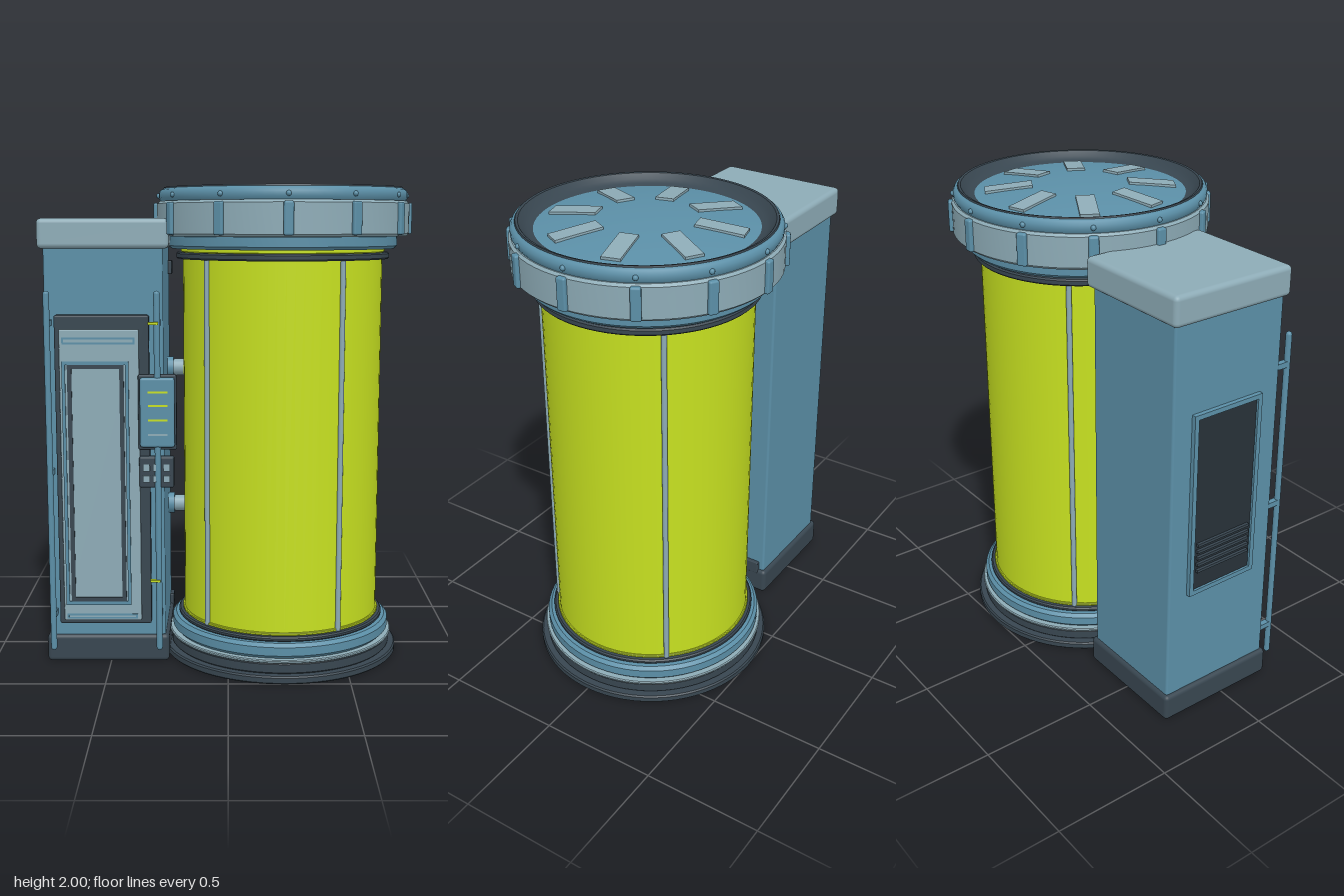
import * as THREE from 'three';
import { toCreasedNormals } from 'three/addons/utils/BufferGeometryUtils.js';
import { RoundedBoxGeometry } from 'three/addons/geometries/RoundedBoxGeometry.js';

const paint = (name, color) => {
  const m = new THREE.MeshStandardMaterial({ color });
  m.name = name;
  return m;
};

export function createModel() {
  const blue = paint('steel blue', 0x5b8fa7);
  const light = paint('pale metal', 0x8dabb6);
  const dark = paint('dark metal', 0x384650);
  const black = paint('grille black', 0x273138);
  const glow = paint('green liquid', 0xc6e020);

  const model = new THREE.Group();
  const tank = new THREE.Group();
  tank.name = 'tank';
  tank.position.x = 0.23;
  const cabinet = new THREE.Group();
  cabinet.name = 'cabinet';
  model.add(tank, cabinet);

  const add = (parent, name, geo, mat, x = 0, y = 0, z = 0) => {
    const m = new THREE.Mesh(geo, mat);
    m.name = name;
    m.position.set(x, y, z);
    parent.add(m);
    return m;
  };
  const lathe = (name, pts, mat) => add(tank, name, toCreasedNormals(
    new THREE.LatheGeometry(pts.map(p => new THREE.Vector2(...p)), 72), 0.6), mat);
  // closed disc with bevelled edges
  const disc = (name, r, y0, y1, mat, b = 0.006) => lathe(name,
    [[0, y0], [r - b, y0], [r, y0 + b], [r, y1 - b], [r - b, y1], [0, y1]], mat);
  // box given by its limits
  const box = (parent, name, mat, x0, x1, y0, y1, z0, z1, r = 0) => {
    const s = [x1 - x0, y1 - y0, z1 - z0];
    const geo = r ? new RoundedBoxGeometry(...s, 3, r) : new THREE.BoxGeometry(...s);
    return add(parent, name, geo, mat, (x0 + x1) / 2, (y0 + y1) / 2, (z0 + z1) / 2);
  };
  // rectangular frame of four bars
  const frame = (parent, name, mat, x0, x1, y0, y1, z0, z1, w) => {
    const g = new THREE.Group();
    g.name = name;
    parent.add(g);
    box(g, name + 'Left', mat, x0, x0 + w, y0, y1, z0, z1);
    box(g, name + 'Right', mat, x1 - w, x1, y0, y1, z0, z1);
    box(g, name + 'Bottom', mat, x0 + w, x1 - w, y0, y0 + w, z0, z1);
    box(g, name + 'Top', mat, x0 + w, x1 - w, y1 - w, y1, z0, z1);
    return g;
  };

  // tank base
  disc('baseFoot', 0.51, 0, 0.033, dark);
  disc('baseStep', 0.48, 0.033, 0.08, dark);
  disc('baseTrim', 0.488, 0.08, 0.094, light, 0.004);
  disc('baseCollar', 0.474, 0.094, 0.158, blue, 0.014);
  disc('baseSeal', 0.447, 0.158, 0.178, dark);
  disc('lowerGlowRing', 0.43, 0.178, 0.19, glow, 0.003);

  // liquid column and upright rods
  add(tank, 'liquidColumn', new THREE.CylinderGeometry(0.422, 0.422, 1.56, 72, 1, true), glow, 0, 0.965, 0);
  for (const deg of [58, 138, 222, 318]) {
    const a = deg * Math.PI / 180;
    add(tank, 'uprightRod', new THREE.CylinderGeometry(0.011, 0.011, 1.54, 12), light,
      Math.cos(a) * 0.426, 0.95, Math.sin(a) * 0.426);
  }

  // tank cap
  disc('upperSeal', 0.45, 1.705, 1.733, dark);
  disc('upperGlowRing', 0.43, 1.733, 1.75, glow, 0.003);
  disc('capCollar', 0.482, 1.748, 1.81, blue, 0.012);
  disc('capBand', 0.53, 1.8, 1.942, light, 0.01);
  lathe('capRim', [[0.49, 1.935], [0.515, 1.942], [0.522, 1.955], [0.522, 1.975],
    [0.514, 1.988], [0.503, 1.994]], blue);
  lathe('capRing', [[0.503, 1.992], [0.5, 2], [0.49, 1.998], [0.472, 1.978], [0.455, 1.966], [0.434, 1.96]], dark);
  const dome = [];
  for (let i = 0; i <= 10; i++) {
    const r = 0.436 * (1 - i / 10);
    dome.push([r, 1.96 + 0.034 * (1 - (r / 0.436) ** 2)]);
  }
  lathe('capDome', dome, blue);

  for (let i = 0; i < 12; i++) {
    const pivot = new THREE.Group();
    pivot.name = 'capClip';
    pivot.rotation.y = i * Math.PI / 6;
    tank.add(pivot);
    box(pivot, 'clipBar', blue, 0.515, 0.545, 1.806, 1.936, -0.02, 0.02, 0.008);
    add(pivot, 'clipBolt', new THREE.SphereGeometry(0.011, 10, 8), blue, 0.522, 1.965, 0);
  }
  for (let i = 0; i < 8; i++) {
    const pivot = new THREE.Group();
    pivot.name = 'roofVent';
    pivot.rotation.y = Math.PI / 12 + i * Math.PI / 4;
    tank.add(pivot);
    const plate = add(pivot, 'ventPlate', new THREE.BoxGeometry(0.195, 0.014, 0.076), light, 0.295, 1.98, 0);
    plate.rotation.z = -0.1;
  }

  // cabinet shell
  box(cabinet, 'cabinetBase', dark, -0.772, -0.252, 0, 0.118, -0.31, 0.242, 0.018);
  box(cabinet, 'cabinetBody', blue, -0.755, -0.267, 0.1, 1.77, -0.295, 0.228, 0.01);
  box(cabinet, 'cabinetLid', light, -0.779, -0.242, 1.75, 1.872, -0.315, 0.243, 0.02);

  // door with stepped frames
  box(cabinet, 'doorSurround', dark, -0.712, -0.325, 0.175, 1.482, 0.22, 0.262, 0.008);
  box(cabinet, 'doorPanel', light, -0.692, -0.366, 0.193, 1.425, 0.25, 0.27, 0.006);
  frame(cabinet, 'doorOuterTrim', blue, -0.682, -0.408, 0.262, 1.294, 0.266, 0.276, 0.014);
  frame(cabinet, 'doorInnerTrim', dark, -0.66, -0.428, 0.276, 1.282, 0.266, 0.274, 0.018);
  for (const [y0, y1] of [[1.365, 1.392], [0.2, 0.222]]) {
    frame(cabinet, 'doorSlot', blue, -0.68, -0.382, y0, y1, 0.266, 0.274, 0.007);
  }

  // front rails with brackets
  for (const x of [-0.737, -0.29]) {
    add(cabinet, 'frontRail', new THREE.CapsuleGeometry(0.013, 1.49, 4, 12), blue, x, 0.825, 0.285);
    for (const y of [0.22, 0.83, 1.45]) {
      box(cabinet, 'railBracket', blue, x - 0.012, x + 0.012, y - 0.012, y + 0.012, 0.22, 0.285);
    }
  }
  for (const y of [0.372, 1.452]) {
    box(cabinet, 'railMarker', glow, -0.326, -0.284, y - 0.005, y + 0.005, 0.285, 0.303);
  }

  // control box and keypad
  box(cabinet, 'controlMount', dark, -0.37, -0.212, 0.93, 1.24, 0.25, 0.283, 0.006);
  box(cabinet, 'controlBox', blue, -0.362, -0.22, 0.942, 1.23, 0.26, 0.303, 0.01);
  [0.995, 1.055, 1.115, 1.172].forEach((y, i) => box(cabinet, 'readoutLine', i ? glow : light,
    -0.328, -0.248, y - 0.004, y + 0.004, 0.3, 0.306));
  box(cabinet, 'keypad', dark, -0.368, -0.224, 0.77, 0.9, 0.245, 0.288, 0.008);
  for (let i = 0; i < 3; i++) {
    for (const y of [0.808, 0.855]) {
      const x = -0.338 + i * 0.042;
      box(cabinet, 'key', light, x - 0.014, x + 0.014, y - 0.014, y + 0.014, 0.28, 0.294);
    }
  }

  // side grille
  box(cabinet, 'grillePanel', black, -0.764, -0.74, 0.59, 1.37, -0.195, 0.12);
  for (const [y0, y1, z0, z1] of [[0.58, 0.6, -0.205, 0.13], [1.36, 1.38, -0.205, 0.13],
    [0.6, 1.36, -0.205, -0.185], [0.6, 1.36, 0.11, 0.13]]) {
    box(cabinet, 'grilleFrame', blue, -0.774, -0.74, y0, y1, z0, z1);
  }
  for (let i = 0; i < 5; i++) {
    box(cabinet, 'grilleSlat', dark, -0.776, -0.75, 0.68 + i * 0.03, 0.692 + i * 0.03, -0.17, 0.095);
  }

  // pipes to the tank and rear latches
  for (const y of [0.61, 1.225]) {
    const pipe = add(cabinet, 'linkPipe', new THREE.CylinderGeometry(0.036, 0.036, 0.2, 20), light, -0.19, y, -0.13);
    pipe.rotation.z = Math.PI / 2;
    const flange = add(cabinet, 'pipeFlange', new THREE.CylinderGeometry(0.046, 0.046, 0.03, 20), blue, -0.255, y, -0.13);
    flange.rotation.z = Math.PI / 2;
  }
  for (const y of [0.13, 1.66]) {
    box(cabinet, 'rearLatch', dark, -0.275, -0.25, y - 0.03, y + 0.03, -0.27, -0.2, 0.005);
  }
  return model;
}
